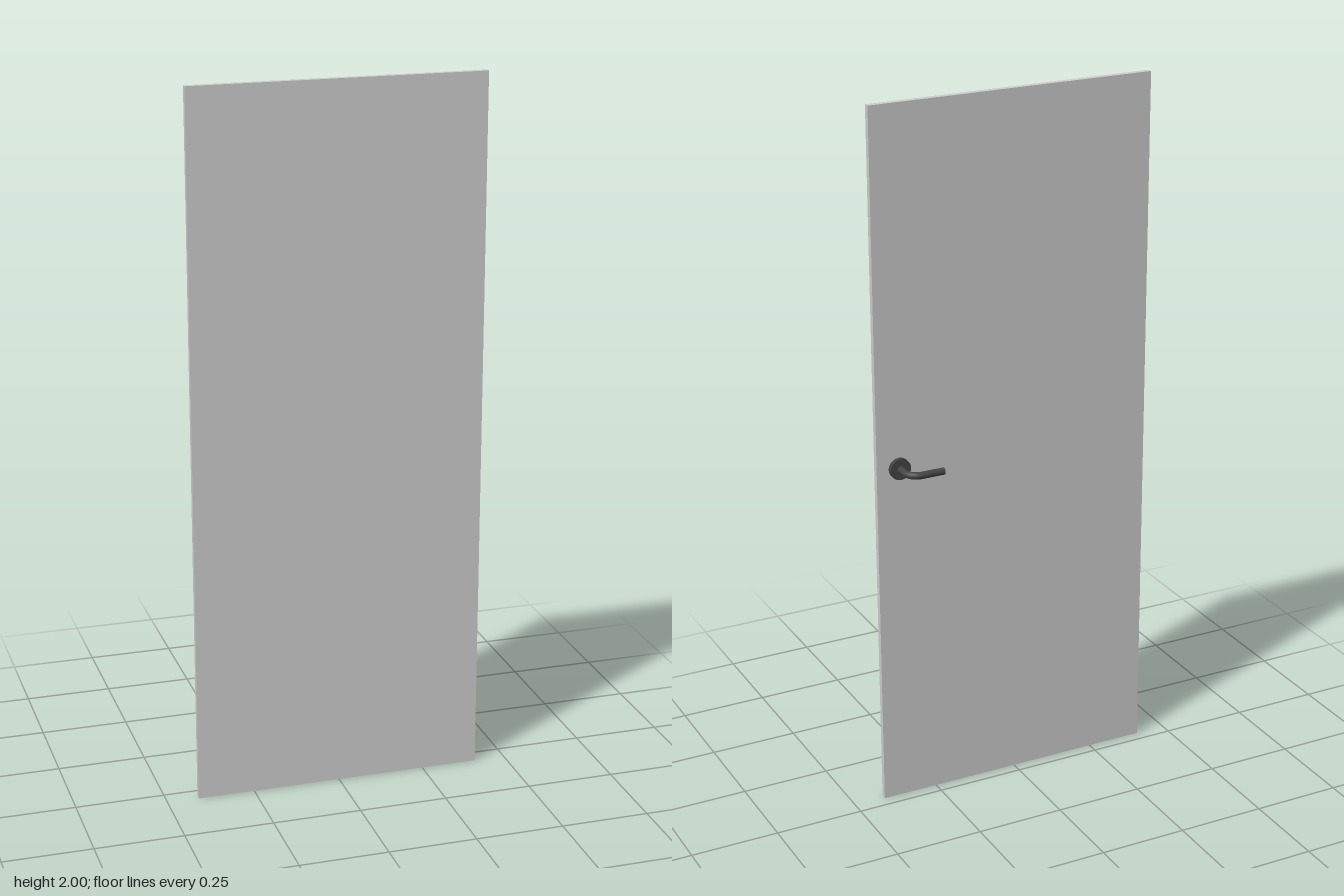
import * as THREE from 'three';

export function createModel() {
  const door = new THREE.Group();
  door.name = 'door';
  const panelMat = new THREE.MeshStandardMaterial({ color: 0xcccccc });
  const metalMat = new THREE.MeshStandardMaterial({ color: 0x444444 });

  const add = (parent, name, geometry, material, x = 0, y = 0, z = 0) => {
    const mesh = new THREE.Mesh(geometry, material);
    mesh.name = name;
    mesh.position.set(x, y, z);
    parent.add(mesh);
    return mesh;
  };

  // Flat door leaf
  add(door, 'doorPanel', new THREE.BoxGeometry(0.822, 2, 0.016), panelMat, 0, 1, 0.041);

  // Lever handle on the back, origin on the panel's back face
  const handle = new THREE.Group();
  handle.name = 'leverHandle';
  handle.position.set(0.346, 1.002, 0.033);
  door.add(handle);

  // Round rose against the panel
  const rose = new THREE.CylinderGeometry(0.03, 0.03, 0.013, 40).rotateX(Math.PI / 2);
  add(handle, 'rose', rose, metalMat, 0, 0, -0.0065);

  // Stem, rounded elbow and grip in one swept bar
  const v = (x, z) => new THREE.Vector3(x, 0, z);
  const r = 0.01, reach = -0.074, bend = 0.034, tip = -0.099;
  const path = new THREE.CurvePath();
  path.add(new THREE.LineCurve3(v(0, -0.01), v(0, reach + bend)));
  path.add(new THREE.CubicBezierCurve3(
    v(0, reach + bend), v(0, reach + bend * 0.45), v(-bend * 0.45, reach), v(-bend, reach)));
  path.add(new THREE.LineCurve3(v(-bend, reach), v(tip, reach)));
  add(handle, 'lever', new THREE.TubeGeometry(path, 48, r, 20), metalMat);

  // Flat end of the grip
  add(handle, 'leverEnd', new THREE.CircleGeometry(r, 20).rotateY(-Math.PI / 2), metalMat, tip, 0, reach);

  return door;
}
